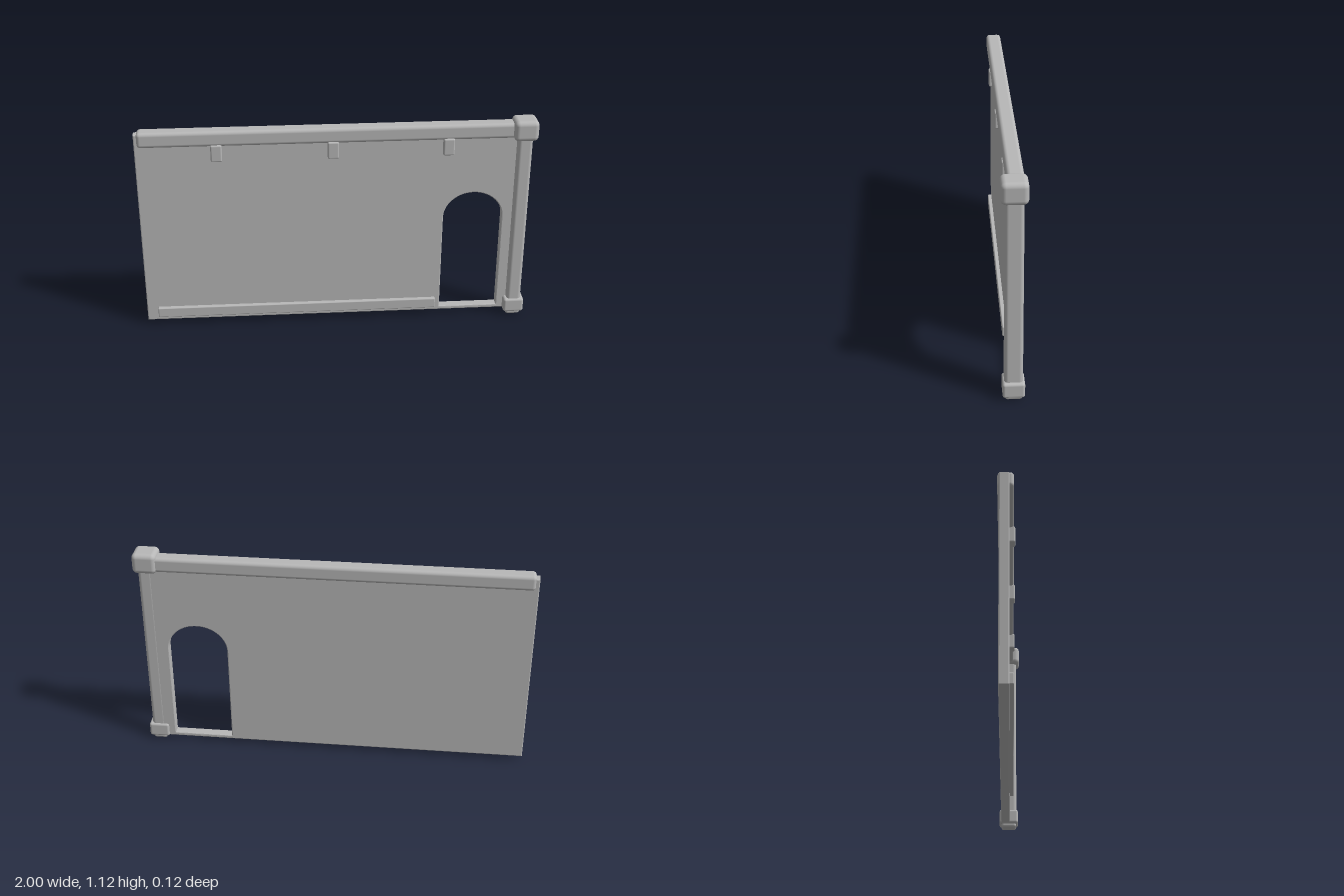
import * as THREE from 'three';
import { RoundedBoxGeometry } from 'three/addons/geometries/RoundedBoxGeometry.js';

const stone = new THREE.MeshStandardMaterial({ color: 0xb8b8b8 });
stone.name = 'grey stone';

// Rounded block given by its min and max corners
function block(name, [x0, y0, z0], [x1, y1, z1], radius) {
  const geometry = new RoundedBoxGeometry(x1 - x0, y1 - y0, z1 - z0, 3, radius);
  geometry.translate((x0 + x1) / 2, (y0 + y1) / 2, (z0 + z1) / 2);
  const mesh = new THREE.Mesh(geometry, stone);
  mesh.name = name;
  return mesh;
}

// Block of square-ish section centred on the post axis
function postBlock(name, halfX, halfZ, y0, y1, radius) {
  const cx = 0.934;
  return block(name, [cx - halfX, y0, -halfZ], [cx + halfX, y1, halfZ], radius);
}

// Wall panel with an arched doorway
function wallPanel() {
  const bevel = 0.005, zBack = -0.042, zFront = 0.006;
  const left = -1 + bevel, right = 0.93, bottom = 0.025 + bevel, top = 1.08 - bevel;
  const shape = new THREE.Shape();
  shape.moveTo(left, bottom);
  shape.lineTo(right, bottom);
  shape.lineTo(right, top);
  shape.lineTo(left, top);
  shape.closePath();

  const cx = 0.694, half = 0.152 + bevel, sill = 0.045 - bevel, spring = 0.575;
  const door = new THREE.Path();
  door.moveTo(cx - half, sill);
  door.lineTo(cx - half, spring);
  door.absellipse(cx, spring, half, 0.14 + bevel, Math.PI, 0, true);
  door.lineTo(cx + half, sill);
  door.closePath();
  shape.holes.push(door);

  const geometry = new THREE.ExtrudeGeometry(shape, {
    depth: zFront - zBack - 2 * bevel, curveSegments: 24,
    bevelEnabled: true, bevelSize: bevel, bevelThickness: bevel, bevelSegments: 2,
  });
  geometry.translate(0, 0, zBack + bevel);
  const mesh = new THREE.Mesh(geometry, stone);
  mesh.name = 'wallPanel';
  return mesh;
}

export function createModel() {
  const model = new THREE.Group();
  model.name = 'wallWithDoorway';

  model.add(wallPanel());

  // Coping rail along the top and skirting ledge along the foot
  model.add(block('topRail', [-0.984, 1.017, -0.05], [0.92, 1.096, 0.028], 0.018));
  model.add(block('skirtingLedge', [-0.942, 0.05, -0.02], [0.516, 0.104, 0.026], 0.005));

  // Brackets under the rail
  for (const x of [-0.599, -0.023, 0.553]) {
    model.add(block('bracket', [x - 0.028, 0.937, -0.02], [x + 0.028, 1.026, 0.034], 0.008));
  }

  // Corner post with cap, base and foot
  const post = new THREE.Group();
  post.name = 'cornerPost';
  post.add(
    postBlock('postShaft', 0.037, 0.043, 0.06, 1.05, 0.018),
    postBlock('postCap', 0.061, 0.061, 1.009, 1.115, 0.024),
    postBlock('postBase', 0.053, 0.052, 0.02, 0.098, 0.013),
    postBlock('postFoot', 0.038, 0.041, 0, 0.06, 0.014),
  );
  model.add(post);
  return model;
}
